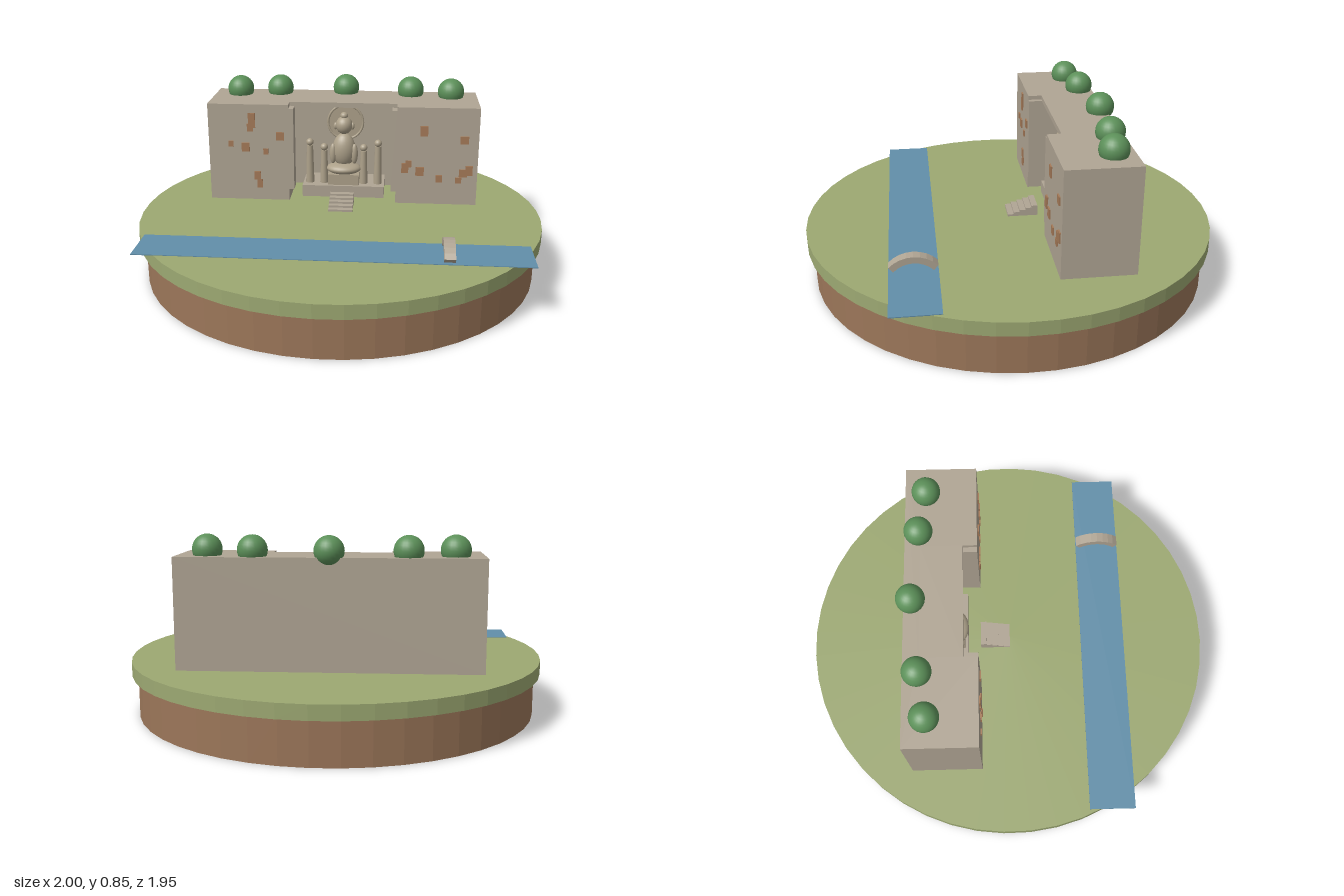
import * as THREE from 'three';

const mat = (name, color, flatShading = false) => {
  const m = new THREE.MeshStandardMaterial({ color, flatShading });
  m.name = name;
  return m;
};

export function createModel() {
  const grass = mat('grass', 0x9ca872, true);
  const earth = mat('earth', 0x9b7659, true);
  const rock = mat('rock', 0xb0a594);
  const carved = mat('carved stone', 0xada18a);
  const clay = mat('clay', 0xa57a58);
  const water = mat('water', 0x628fa9);
  const leaves = mat('leaves', 0x5c9059);

  const model = new THREE.Group();
  model.name = 'cliffShrine';
  const add = (parent, name, geo, material, x, y, z) => {
    const m = new THREE.Mesh(geo, material);
    m.name = name;
    m.position.set(x, y, z);
    parent.add(m);
    return m;
  };
  // box given by its min and max on each axis
  const block = (parent, name, material, x0, x1, y0, y1, z0, z1) =>
    add(parent, name, new THREE.BoxGeometry(x1 - x0, y1 - y0, z1 - z0), material,
      (x0 + x1) / 2, (y0 + y1) / 2, (z0 + z1) / 2);
  const ball = (parent, name, material, r, x, y, z, sy = 1, sx = 1, sz = 1) => {
    const m = add(parent, name, new THREE.SphereGeometry(r, 24, 16), material, x, y, z);
    m.scale.set(sx, sy, sz);
    return m;
  };

  // round island
  const cx = 0.024, cz = -0.005, top = 0.26;
  add(model, 'earthBase', new THREE.CylinderGeometry(0.945, 0.945, 0.195, 48), earth, cx, 0.0975, cz);
  add(model, 'grassDisc', new THREE.CylinderGeometry(0.973, 0.973, 0.065, 48), grass, cx, 0.2275, cz);

  // everything on the island is turned by the same angle
  const site = new THREE.Group();
  site.name = 'site';
  site.position.set(cx, 0, cz);
  site.rotation.y = -THREE.MathUtils.degToRad(20);
  model.add(site);

  // cliff with a niche, its front open at the top
  const back = -0.472, front = -0.137, nicheBack = -0.4, half = 0.27, roof = 0.76;
  const cliff = new THREE.Group();
  cliff.name = 'cliff';
  site.add(cliff);
  const outline = new THREE.Shape([
    [-0.675, -front], [-half, -front], [-half, -nicheBack], [half, -nicheBack],
    [half, -front], [0.675, -front], [0.675, -back], [-0.675, -back],
  ].map(([x, y]) => new THREE.Vector2(x, y)));
  const cliffGeo = new THREE.ExtrudeGeometry(outline, { depth: roof - top, bevelEnabled: false });
  cliffGeo.rotateX(-Math.PI / 2);
  add(cliff, 'cliffBody', cliffGeo, rock, 0, top, 0);
  block(cliff, 'nicheLintel', rock, -half, half, 0.735, roof, nicheBack, -0.203);
  block(cliff, 'nichePlinth', rock, -0.21, 0.21, top, 0.32, nicheBack, -0.2);
  for (const s of [-1, 1]) {
    const x = s * (half - 0.0125);
    block(cliff, 'nichePost', rock, x - 0.0125, x + 0.0125, 0.32, 0.74, -0.203, front);
  }

  // small clay reliefs on the cliff face: x, y, width, height
  const reliefs = [
    [-0.562, 0.556, 0.025, 0.03], [-0.454, 0.679, 0.035, 0.075], [-0.463, 0.642, 0.03, 0.04],
    [-0.386, 0.519, 0.025, 0.03], [-0.312, 0.599, 0.04, 0.042], [-0.431, 0.39, 0.032, 0.045],
    [-0.42, 0.348, 0.028, 0.045], [-0.488, 0.54, 0.04, 0.045], [0.405, 0.642, 0.038, 0.052],
    [0.314, 0.449, 0.035, 0.05], [0.331, 0.471, 0.03, 0.035], [0.388, 0.433, 0.042, 0.045],
    [0.485, 0.396, 0.032, 0.037], [0.582, 0.39, 0.03, 0.03], [0.604, 0.428, 0.04, 0.04],
    [0.633, 0.442, 0.035, 0.05], [0.604, 0.599, 0.042, 0.038],
  ];
  for (const [x, y, w, h] of reliefs)
    add(cliff, 'relief', new THREE.BoxGeometry(w, h, 0.014), clay, x, y, front);

  // steps up to the niche
  const steps = 5, rise = 0.05 / steps, tread = 0.145 / steps;
  for (let i = 0; i < steps; i++)
    block(site, 'step', rock, -0.06, 0.06, top, top + rise * (i + 1),
      front, 0.008 - tread * i);

  // seated statue with halo
  const statue = new THREE.Group();
  statue.name = 'statue';
  statue.position.z = -0.27;
  site.add(statue);
  block(statue, 'seat', carved, -0.08, 0.08, 0.32, 0.375, -0.055, 0.055);
  ball(statue, 'crossedLegs', carved, 0.09, 0, 0.4, 0.01, 0.34, 1, 0.75);
  ball(statue, 'torso', carved, 0.06, 0, 0.495, 0, 1.5, 1, 0.85);
  ball(statue, 'head', carved, 0.043, 0, 0.627, 0, 1.08);
  ball(statue, 'topknot', carved, 0.02, 0, 0.677, 0, 0.9);
  for (const s of [-1, 1]) {
    ball(statue, 'ear', carved, 0.011, s * 0.043, 0.622, 0, 1.7);
    ball(statue, 'arm', carved, 0.018, s * 0.055, 0.48, 0.02, 3);
  }
  add(statue, 'halo', new THREE.CylinderGeometry(0.095, 0.095, 0.012, 32).rotateX(Math.PI / 2),
    carved, 0, 0.61, -0.125);
  add(statue, 'haloRim', new THREE.TorusGeometry(0.092, 0.006, 8, 32), carved, 0, 0.61, -0.118);

  // standing attendants on both sides
  for (const s of [-1, 1])
    for (const [x, h] of [[0.102, 0.175], [0.176, 0.2]]) {
      add(site, 'attendantBody', new THREE.CylinderGeometry(0.016, 0.022, h, 16), carved,
        s * x, 0.32 + h / 2, -0.26);
      ball(site, 'attendantHead', carved, 0.019, s * x, 0.32 + h + 0.016, -0.26);
    }

  // straight river and arched bridge
  block(site, 'river', water, -0.878, 0.878, 0.259, 0.263, 0.367, 0.583);
  const stones = 8, radius = 0.132, spread = 1.62;
  for (let i = 0; i < stones; i++) {
    const a = ((i + 0.5) / stones - 0.5) * spread;
    const stone = add(site, 'bridgeStone', new THREE.BoxGeometry(0.05, 0.03, 0.03), rock,
      0.509, 0.315 - radius * (1 - Math.cos(a)), 0.475 + radius * Math.sin(a));
    stone.rotation.x = a;
  }

  // bushes along the cliff top
  for (const [x, z] of [[-0.361, -0.54], [-0.158, -0.503], [0.174, -0.417], [0.479, -0.273], [0.66, -0.171]])
    ball(model, 'bush', leaves, 0.067, x, 0.787, z);

  return model;
}
